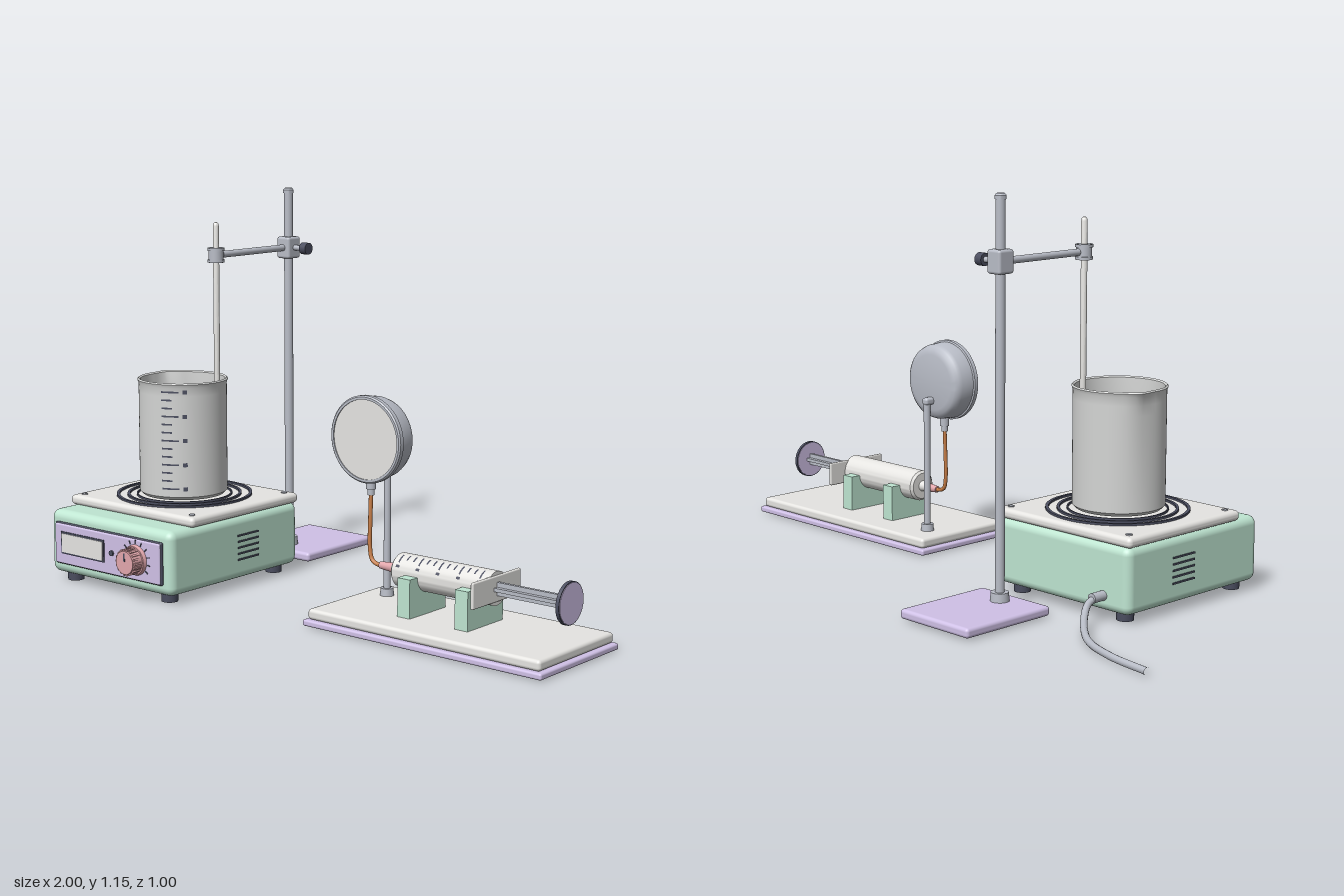
import * as THREE from 'three';
import { toCreasedNormals } from 'three/addons/utils/BufferGeometryUtils.js';
import { RoundedBoxGeometry } from 'three/addons/geometries/RoundedBoxGeometry.js';

const mat = (name, color) => {
  const m = new THREE.MeshStandardMaterial({ color });
  m.name = name;
  return m;
};

export function createModel() {
  const mint = mat('mint', 0xbfe6d2), lavender = mat('lavender', 0xd1c2e8);
  const white = mat('offWhite', 0xe6e5e2), steel = mat('steel', 0xb9bdc7);
  const slate = mat('slate', 0x4b4e60), pink = mat('pink', 0xe2a7ac);
  const copper = mat('copper', 0xc67d47), water = mat('water', 0x9ac8ee);
  const glass = mat('clearGlass', 0xd4d5d4);
  const model = new THREE.Group();
  model.name = 'labSetup';

  const group = (name, x = 0.004, y = 0, z = -0.002) => {
    const g = new THREE.Group();
    g.name = name;
    g.position.set(x, y, z);
    model.add(g);
    return g;
  };
  const add = (parent, name, geo, m, x = 0, y = 0, z = 0) => {
    const mesh = new THREE.Mesh(geo, m);
    mesh.name = name;
    mesh.position.set(x, y, z);
    parent.add(mesh);
    return mesh;
  };
  const box = (w, h, d) => new THREE.BoxGeometry(w, h, d);
  const rbox = (w, h, d, r) => new RoundedBoxGeometry(w, h, d, 3, r);
  // Cylinder along the chosen axis
  const cyl = (r, len, axis = 'y', r2 = r, seg = 32) => {
    const g = new THREE.CylinderGeometry(r2, r, len, seg);
    if (axis === 'x') g.rotateZ(-Math.PI / 2);
    if (axis === 'z') g.rotateX(Math.PI / 2);
    return g;
  };
  // Curved mark lying on a round wall
  const arc = (r, h, start, len) => new THREE.CylinderGeometry(r, r, h, 6, 1, true, start, len);
  const lathe = (pts, seg = 48) => toCreasedNormals(
    new THREE.LatheGeometry(pts.map(([x, y]) => new THREE.Vector2(x, y)), seg), 0.6);
  const tube = (pts, r) => new THREE.TubeGeometry(
    new THREE.CatmullRomCurve3(pts.map((p) => new THREE.Vector3(...p))), 48, r, 12);

  // ---- Hot plate ----
  const hot = group('hotPlate');
  const hx = -0.45, pz = 0.127;
  add(hot, 'housing', rbox(0.5, 0.19, 0.548, 0.025), mint, hx, 0.12, 0.169);
  add(hot, 'topPlate', rbox(0.507, 0.03, 0.462, 0.013), white, hx, 0.228, pz);
  for (const [r0, r1] of [[0.194, 0.203], [0.163, 0.171], [0.139, 0.143]]) {
    add(hot, 'heatRing', lathe([[r0, 0], [r1, 0], [r1, 0.007], [r0, 0.007], [r0, 0]], 64), slate, hx, 0.242, pz);
  }
  for (const sx of [-1, 1]) for (const sz of [-1, 1]) {
    add(hot, 'plateScrew', cyl(0.009, 0.004), steel, hx + sx * 0.222, 0.244, pz + sz * 0.2);
    add(hot, 'foot', cyl(0.024, 0.034, 'y', 0.025), slate, hx + sx * 0.195, 0.017, 0.17 + sz * 0.224);
  }
  // Side vents
  for (const sx of [-1, 1]) for (let i = 0; i < 5; i++) {
    add(hot, 'ventSlot', box(0.006, 0.005, 0.09), slate, hx + sx * 0.25, 0.085 + i * 0.018, 0.12);
  }
  // Control panel
  add(hot, 'panelBorder', rbox(0.438, 0.126, 0.012, 0.005), slate, hx, 0.12, 0.446);
  add(hot, 'panel', rbox(0.432, 0.12, 0.016, 0.005), lavender, hx, 0.12, 0.449);
  add(hot, 'displayFrame', box(0.18, 0.066, 0.008), slate, -0.546, 0.125, 0.456);
  add(hot, 'display', box(0.17, 0.056, 0.008), white, -0.546, 0.125, 0.458);
  add(hot, 'indicator', cyl(0.008, 0.008, 'z'), slate, -0.425, 0.125, 0.458);
  const kx = -0.328, ky = 0.12;
  for (let i = 0; i < 11; i++) {
    const a = -0.6 + i * (Math.PI + 1.2) / 10;
    const t = add(hot, 'dialTick', box(0.011, 0.003, 0.004), slate,
      kx + Math.cos(a) * 0.053, ky + Math.sin(a) * 0.053, 0.457);
    t.rotation.z = a;
  }
  add(hot, 'knobSkirt', cyl(0.045, 0.012, 'z', 0.042), pink, kx, ky, 0.462);
  add(hot, 'knob', cyl(0.037, 0.035, 'z', 0.034), pink, kx, ky, 0.485);
  for (let i = 0; i < 18; i++) {
    const a = i * Math.PI / 9;
    const rib = add(hot, 'knobRib', box(0.006, 0.006, 0.03), pink,
      kx + Math.cos(a) * 0.036, ky + Math.sin(a) * 0.036, 0.484);
    rib.rotation.z = a;
  }
  add(hot, 'knobPointer', box(0.005, 0.024, 0.004), slate, kx, ky + 0.016, 0.502);
  // Power lead
  add(hot, 'strainRelief', cyl(0.014, 0.05, 'z'), steel, -0.61, 0.07, -0.125);
  add(hot, 'powerLead', tube([[-0.61, 0.07, -0.13], [-0.612, 0.06, -0.165], [-0.635, 0.036, -0.205],
    [-0.72, 0.012, -0.285], [-0.853, 0.011, -0.345], [-1.003, 0.011, -0.372]], 0.01), steel);

  // ---- Beaker with pouring spout ----
  const beaker = group('beaker', -0.447, 0.249, 0.127);
  const R = 0.131;
  const wall = new THREE.LatheGeometry([[0, 0], [R - 0.01, 0], [R, 0.01], [R, 0.28], [R, 0.31], [R, 0.335],
    [R + 0.004, 0.345], [R, 0.349], [R - 0.005, 0.345], [R - 0.006, 0.31], [R - 0.006, 0.28],
    [R - 0.006, 0.012], [0, 0.012]].map(([x, y]) => new THREE.Vector2(x, y)), 72);
  const p = wall.attributes.position, spout = Math.atan2(-0.06, -0.125);
  for (let i = 0; i < p.count; i++) {
    const x = p.getX(i), y = p.getY(i), z = p.getZ(i);
    const d = Math.atan2(Math.sin(Math.atan2(z, x) - spout), Math.cos(Math.atan2(z, x) - spout));
    const lift = Math.max(0, (y - 0.28) / 0.07) * Math.max(0, 1 - Math.abs(d) / 0.35);
    const s = 1 + 0.12 * lift;
    p.setXYZ(i, x * s, y, z * s);
  }
  add(beaker, 'beakerWall', toCreasedNormals(wall, 0.7), glass);
  add(beaker, 'water', cyl(R - 0.005, 0.2, 'y', R - 0.005, 48), water, 0, 0.112, 0);
  // Graduations follow the curve of the wall
  for (let i = 0; i < 13; i++) {
    const major = i % 3 === 0, y = 0.035 + i * 0.024;
    add(beaker, 'graduation', arc(R + 0.0015, 0.005, 0.27, major ? 0.4 : 0.25), slate, 0, y, 0);
    if (major) add(beaker, 'scaleDash', arc(R + 0.0015, 0.012, 0.76, 0.1), slate, 0, y, 0);
  }

  // ---- Stand, clamp and thermometer ----
  const stand = group('stand');
  const sx = -0.362, sz = -0.25, cy = 0.963, tz = 0.074;
  add(stand, 'standBase', rbox(0.264, 0.028, 0.312, 0.01), lavender, sx, 0.019, -0.343);
  add(stand, 'rodCollar', cyl(0.027, 0.026, 'y', 0.025), steel, sx, 0.045, sz);
  add(stand, 'standRod', cyl(0.0135, 1.1), steel, sx, 0.582, sz);
  add(stand, 'rodCap', lathe([[0, 0], [0.016, 0], [0.016, 0.01], [0.011, 0.016], [0, 0.017]]), steel, sx, 1.128, sz);
  add(stand, 'clampBlock', rbox(0.05, 0.066, 0.056, 0.008), steel, sx, cy, sz);
  add(stand, 'clampScrew', cyl(0.008, 0.05, 'x'), steel, sx + 0.04, cy, sz);
  add(stand, 'clampKnob', cyl(0.018, 0.024, 'x', 0.018, 16), slate, -0.293, cy, sz);
  add(stand, 'clampArm', cyl(0.01, 0.3, 'z'), steel, sx, cy, -0.1);
  add(stand, 'holder', cyl(0.022, 0.044), steel, sx, cy, tz);
  for (const s of [-1, 1]) add(stand, 'holderRim', cyl(0.025, 0.008), steel, sx, cy + s * 0.017, tz);
  add(stand, 'thermometer', lathe([[0, 0.29], [0.006, 0.295], [0.009, 0.31], [0.009, 1.048], [0.0075, 1.055],
    [0.004, 1.059], [0, 1.06]], 24), white, sx, 0, tz);

  // ---- Syringe bench ----
  const bench = group('syringeBench');
  const bx = 0.603, bz = 0.168, by = 0.158;
  add(bench, 'lowerBoard', rbox(0.786, 0.018, 0.364, 0.006), lavender, bx, 0.011, bz + 0.003);
  add(bench, 'upperBoard', rbox(0.765, 0.03, 0.346, 0.01), white, bx, 0.035, bz + 0.003);
  for (const x of [0.479, 0.671]) {
    const s = new THREE.Shape();
    s.moveTo(-0.08, 0.045);
    s.lineTo(0.08, 0.045);
    s.lineTo(0.08, by);
    s.lineTo(0.047, by);
    s.absarc(0, by, 0.047, 0, Math.PI, true);
    s.lineTo(-0.08, by);
    const g = new THREE.ExtrudeGeometry(s, { depth: 0.042, bevelEnabled: false, curveSegments: 20 });
    g.translate(0, 0, -0.021).rotateY(Math.PI / 2);
    add(bench, 'cradle', g, mint, x, 0, bz);
  }
  add(bench, 'barrel', lathe([[0, 0.404], [0.04, 0.404], [0.047, 0.411], [0.047, 0.728], [0, 0.728]])
    .rotateZ(-Math.PI / 2), white, 0, by, bz);
  add(bench, 'fingerFlange', rbox(0.01, 0.072, 0.217, 0.004), white, 0.727, by, bz + 0.003);
  // Barrel graduations on the upper front
  const barrelMark = (name, x, w, start, len) => add(bench, name,
    arc(0.0482, w, start, len).rotateZ(-Math.PI / 2).rotateX(-Math.PI / 2), slate, x, by, bz);
  for (let i = 0; i < 13; i++) {
    const x = 0.43 + i * 0.0225, major = i % 3 === 0;
    barrelMark('barrelMark', x, 0.005, 0.3, major ? 0.6 : 0.4);
    if (major) barrelMark('barrelDash', x, 0.012, 1.05, 0.15);
  }
  add(bench, 'plungerWebUpright', box(0.23, 0.036, 0.01), steel, 0.84, by, bz);
  add(bench, 'plungerWebFlat', box(0.23, 0.01, 0.036), steel, 0.84, by, bz);
  add(bench, 'thumbDiscRim', cyl(0.058, 0.01, 'x'), slate, 0.956, by, bz);
  add(bench, 'thumbDisc', cyl(0.055, 0.013, 'x'), lavender, 0.956, by, bz);
  add(bench, 'nozzle', cyl(0.013, 0.03, 'x', 0.017), white, 0.393, by, bz);
  add(bench, 'connector', cyl(0.01, 0.05, 'x', 0.014), pink, 0.362, by, bz);

  // ---- Pressure gauge ----
  const gauge = group('pressureGauge');
  const gx = 0.297, gy = 0.507;
  add(gauge, 'postCollar', cyl(0.02, 0.022, 'y', 0.018), steel, gx, 0.06, 0.089);
  add(gauge, 'post', cyl(0.01, 0.41), steel, gx, 0.253, 0.089);
  add(gauge, 'postElbow', rbox(0.024, 0.022, 0.046, 0.008), steel, gx, 0.451, 0.1);
  add(gauge, 'gaugeCase', lathe([[0, 0.106], [0.085, 0.106], [0.1, 0.11], [0.109, 0.118], [0.114, 0.131],
    [0.117, 0.172], [0.122, 0.174], [0.122, 0.187], [0.118, 0.191], [0.111, 0.191], [0.111, 0.183], [0, 0.183]], 64)
    .rotateX(Math.PI / 2), steel, gx, gy, 0);
  add(gauge, 'gaugeFace', cyl(0.112, 0.006, 'z', 0.112, 64), white, gx, gy, 0.185);
  add(gauge, 'gaugeNeck', cyl(0.014, 0.034), steel, gx, 0.383, 0.162);
  add(gauge, 'gaugeNut', cyl(0.01, 0.018), steel, gx, 0.358, 0.162);
  add(gauge, 'copperTube', tube([[gx, 0.36, 0.162], [gx, 0.28, 0.165], [gx + 0.001, 0.2, 0.167],
    [gx + 0.01, 0.168, bz], [gx + 0.03, by, bz], [0.345, by, bz]], 0.006), copper);

  return model;
}
